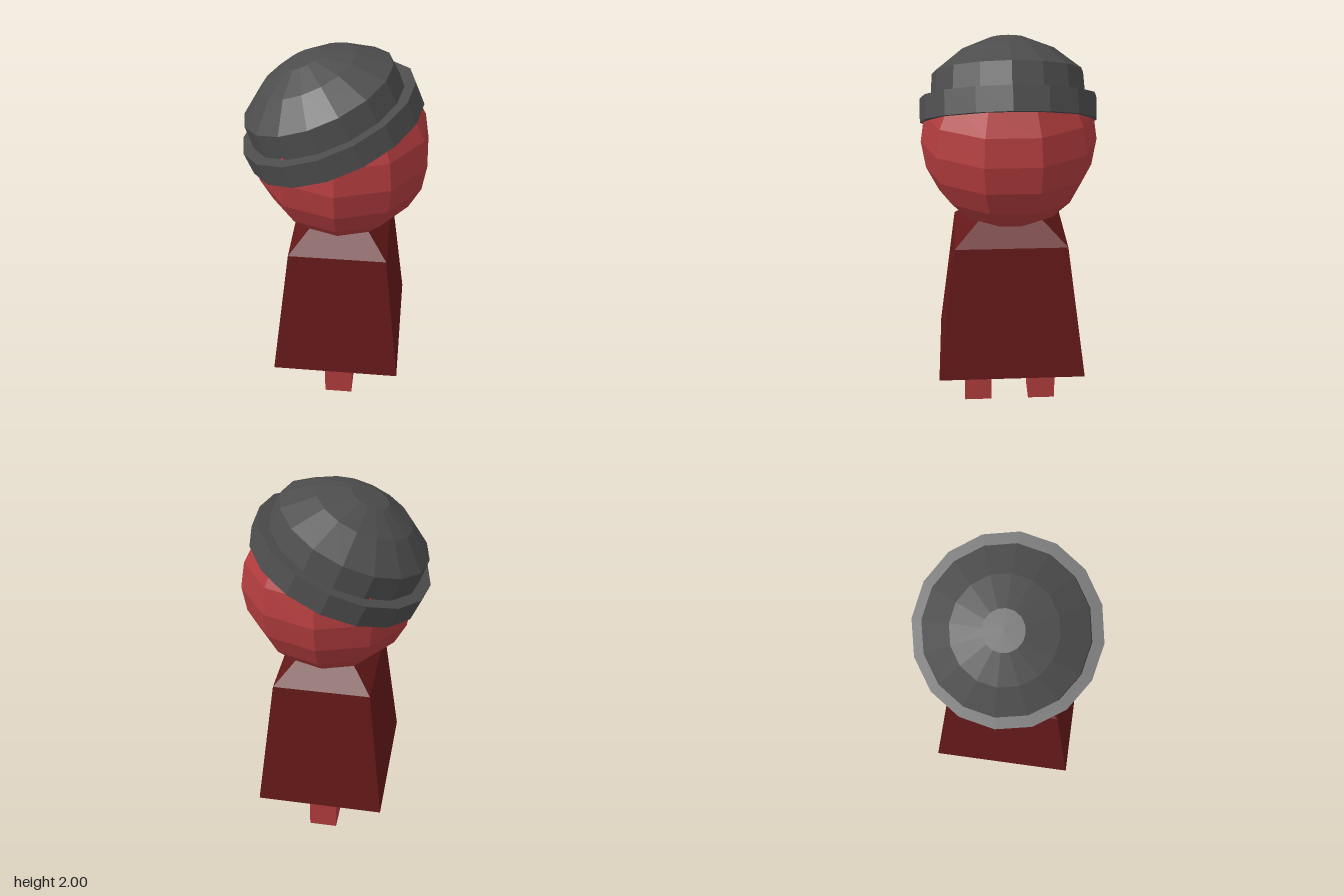
import * as THREE from 'three';

const AXIS_X = 0.04; // centre line of the body and head

const material = (color) => new THREE.MeshStandardMaterial({ color, flatShading: true });

// Faceted solid of revolution from [radius, height] pairs, listed bottom to top.
function turned(profile, sides, phiStart = 0) {
  const points = profile.map(([r, y]) => new THREE.Vector2(r, y));
  return new THREE.LatheGeometry(points, sides, phiStart);
}

export function createModel() {
  const model = new THREE.Group();
  const skin = material(0xb23c3e);
  const cloth = material(0x641818);
  const wool = material(0x4d4d4d);

  const add = (name, geometry, mat, x, y, z = 0) => {
    const mesh = new THREE.Mesh(geometry, mat);
    mesh.name = name;
    mesh.position.set(x, y, z);
    model.add(mesh);
    return mesh;
  };

  // Square legs
  for (const side of [1, -1]) {
    add(side > 0 ? 'frontLeg' : 'backLeg', new THREE.BoxGeometry(0.15, 0.3, 0.147), skin, 0.046, 0.15, side * 0.176);
  }

  // Four-sided tapered body with sloped shoulders meeting inside the head
  const half = Math.SQRT2;
  const body = add('body', turned([
    [0, 0.29], [0.333 * half, 0.29], [0.25 * half, 1], [0, 1.25],
  ], 4, Math.PI / 4), cloth, AXIS_X, 0);
  body.scale.z = 1.145;

  // Ten-sided head
  add('head', new THREE.SphereGeometry(0.445, 10, 10, Math.PI / 10), skin, AXIS_X, 1.49);

  // Tilted cap: wide brim band, then a domed crown
  const hat = add('hat', turned([
    [0, 0], [0.457, 0], [0.457, 0.12], [0.4, 0.12],
    [0.391, 0.243], [0.25, 0.353], [0.097, 0.417], [0, 0.418],
  ], 16), wool, 0.009, 1.579);
  hat.rotation.z = 0.396;
  hat.scale.z = 0.978;

  return model;
}
